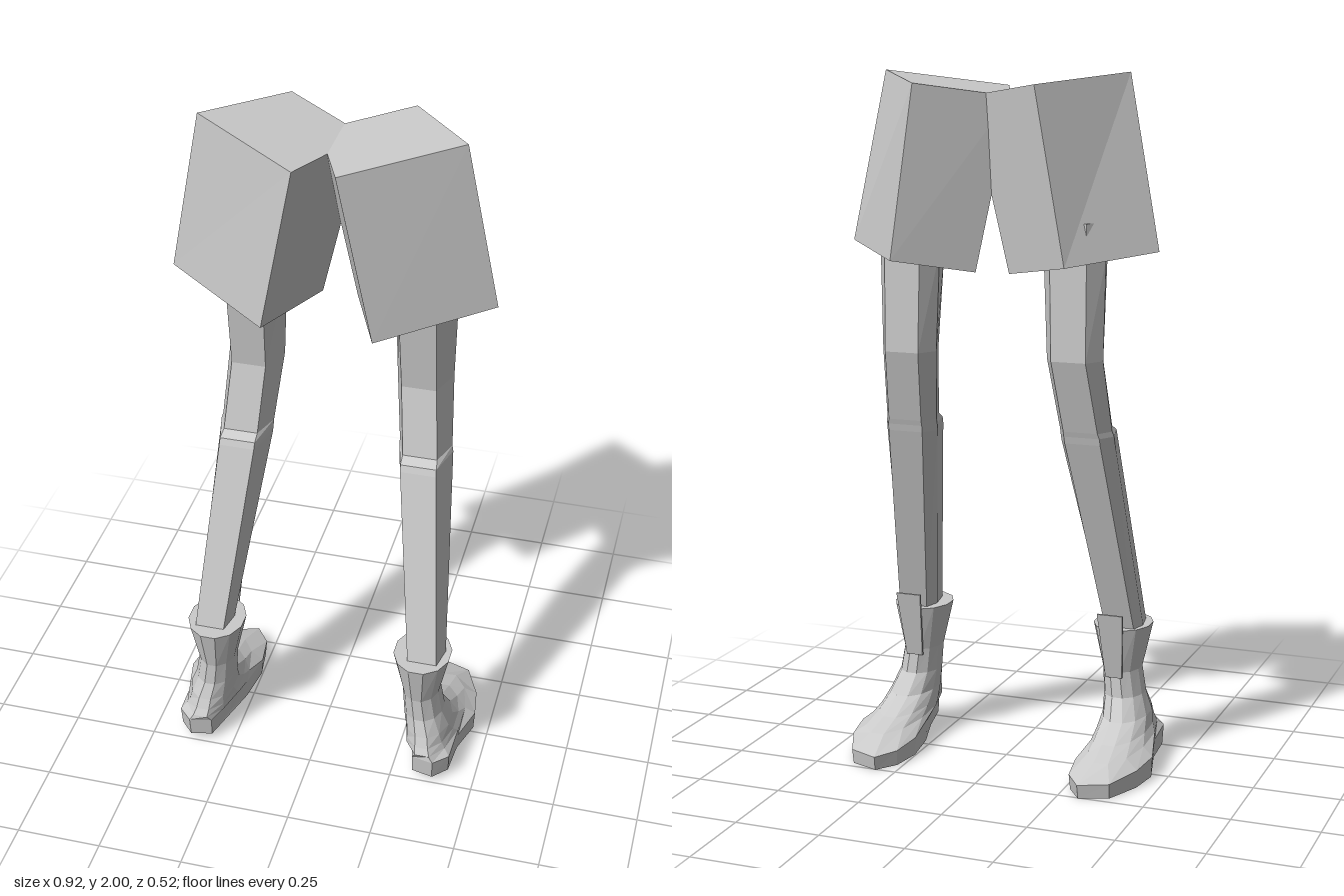
import * as THREE from 'three';

const material = new THREE.MeshStandardMaterial({ color: 0xcccccc, flatShading: true, side: THREE.DoubleSide });

// Skin closed rings of [x, y, z] from bottom to top, capping both ends.
// Rings run counter-clockwise from above; side -1 mirrors them in x.
function loft(name, rings, side) {
  const R = rings.map((ring) => {
    const pts = ring.map(([x, y, z]) => [x * side, y, z]);
    return side < 0 ? pts.reverse() : pts;
  });
  const pos = [];
  const tri = (a, b, c) => pos.push(...a, ...b, ...c);
  const n = R[0].length;
  for (let k = 0; k < R.length - 1; k++) {
    for (let i = 0; i < n; i++) {
      const j = (i + 1) % n;
      tri(R[k][i], R[k][j], R[k + 1][j]);
      tri(R[k][i], R[k + 1][j], R[k + 1][i]);
    }
  }
  const top = R[R.length - 1];
  for (let i = 1; i < n - 1; i++) {
    tri(R[0][0], R[0][i + 1], R[0][i]);
    tri(top[0], top[i], top[i + 1]);
  }
  const geometry = new THREE.BufferGeometry();
  geometry.setAttribute('position', new THREE.Float32BufferAttribute(pos, 3));
  geometry.computeVertexNormals();
  const mesh = new THREE.Mesh(geometry, material);
  mesh.name = name;
  return mesh;
}

// Six-sided leg section: flat front and back, a ridge on either side
const legRing = ([y, cx, flat, wide, zFront, zSide, zBack]) => [
  [cx - flat, y, zFront], [cx + flat, y, zFront], [cx + wide, y, zSide],
  [cx + flat, y, zBack], [cx - flat, y, zBack], [cx - wide, y, zSide],
];

// Twelve-sided boot section, its height sloping from heel to toe
const bootRing = ([cx, half, zHeel, zToe, yHeel, yToe]) =>
  Array.from({ length: 12 }, (_, i) => {
    const a = ((i + 0.5) * Math.PI) / 6;
    const t = (1 - Math.cos(a) / Math.cos(Math.PI / 12)) / 2;
    return [
      cx + (half * Math.sin(a)) / Math.cos(Math.PI / 12),
      THREE.MathUtils.lerp(yHeel, yToe, t),
      THREE.MathUtils.lerp(zHeel, zToe, t),
    ];
  });

// Sole outline in x, z from the heel round the outside to the toe and back
const sole = [
  [0.38, 0.255], [0.422, 0.21], [0.428, 0.1], [0.457, -0.02], [0.442, -0.12], [0.395, -0.23],
  [0.31, -0.262], [0.265, -0.2], [0.25, -0.1], [0.265, 0.02], [0.29, 0.12], [0.315, 0.24],
];

function buildSide(side) {
  const group = new THREE.Group();
  group.name = side > 0 ? 'leftLeg' : 'rightLeg';

  // Blocky, tilted half of the shorts
  group.add(loft('shortsLeg', [
    [[0.155, 1.465, 0.155], [0.459, 1.516, -0.03], [0.255, 1.484, -0.235], [0.05, 1.447, -0.11]],
    [[0.058, 1.955, 0.175], [0.364, 2, -0.005], [0.175, 1.971, -0.255], [-0.062, 1.934, -0.12]],
  ], side));

  // Leg with a bend above a small step at the knee
  group.add(loft('leg', [
    [0.38, 0.328, 0.043, 0.056, 0.195, 0.125, 0.075],
    [0.98, 0.268, 0.052, 0.079, 0.047, -0.06, -0.11],
    [1.0, 0.267, 0.052, 0.079, 0.04, -0.065, -0.115],
    [1.015, 0.265, 0.05, 0.077, 0.012, -0.07, -0.12],
    [1.22, 0.248, 0.05, 0.082, -0.028, -0.12, -0.178],
    [1.5, 0.245, 0.053, 0.09, 0.008, -0.118, -0.175],
    [1.6, 0.243, 0.054, 0.092, 0.02, -0.117, -0.174],
  ].map(legRing), side));

  // Boot: sole, welt, instep, ankle and flared shaft
  const outline = (inset, height) =>
    sole.map(([x, z]) => [0.35 + (x - 0.35) * inset, height(z), z * inset]);
  group.add(loft('boot', [
    outline(0.97, (z) => THREE.MathUtils.clamp(z * 0.15, 0, 0.02)),
    outline(1, (z) => 0.062 + z * 0.08),
    ...[
      [0.347, 0.08, 0.25, -0.16, 0.1, 0.075],
      [0.342, 0.073, 0.238, -0.08, 0.12, 0.1],
      [0.338, 0.067, 0.225, 0.005, 0.15, 0.14],
      [0.326, 0.058, 0.208, 0.05, 0.2, 0.2],
      [0.317, 0.054, 0.208, 0.055, 0.275, 0.275],
      [0.317, 0.083, 0.235, 0.033, 0.408, 0.408],
    ].map(bootRing),
  ], side));

  // Thin tongue leaning out of the boot over the instep
  const strip = (y, half, z) => [
    [0.315 - half, y, z + 0.004], [0.315 + half, y, z + 0.004],
    [0.315 + half, y, z - 0.004], [0.315 - half, y, z - 0.004],
  ];
  group.add(loft('bootTongue', [strip(0.26, 0.025, 0.053), strip(0.46, 0.038, 0.008)], side));
  return group;
}

export function createModel() {
  const model = new THREE.Group();
  model.name = 'legsWithShortsAndBoots';
  for (const side of [1, -1]) model.add(buildSide(side));
  return model;
}
